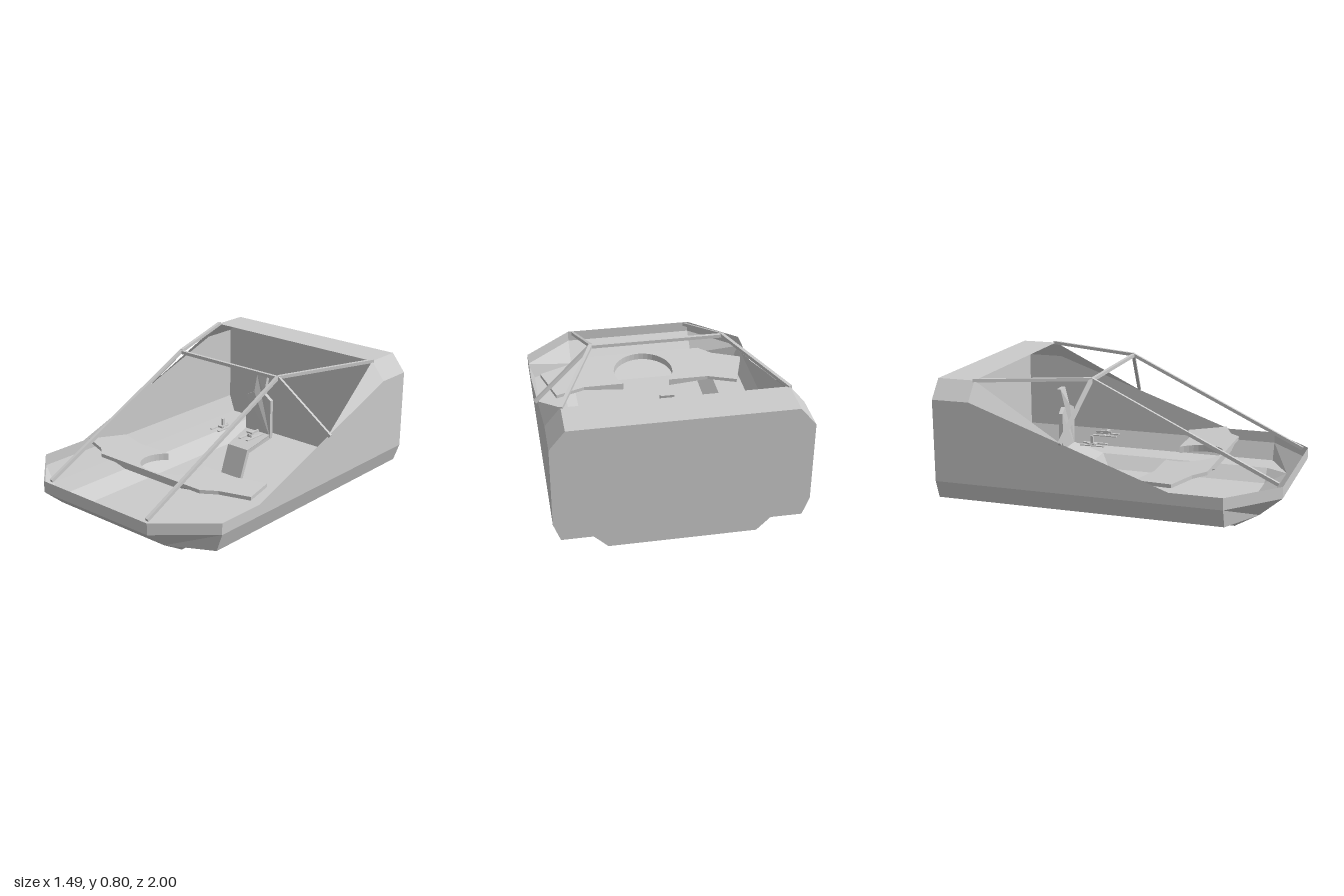
import * as THREE from 'three';

const grey = new THREE.MeshStandardMaterial({ color: 0xcccccc, flatShading: true, side: THREE.DoubleSide });
const V = (p) => new THREE.Vector3(...p);
const mirror = (p) => [-p[0], p[1], p[2]];

function add(parent, name, geometry) {
  const mesh = new THREE.Mesh(geometry, grey);
  mesh.name = name;
  parent.add(mesh);
  return mesh;
}

// Fan-filled panels, each turned to face away from the hull's middle
function panels(polys) {
  const pos = [];
  const middle = new THREE.Vector3(0, 0.35, -0.1);
  for (const poly of polys) {
    const [a, b, c] = poly.map(V);
    const n = b.clone().sub(a).cross(c.clone().sub(a));
    const pts = n.dot(a.clone().sub(middle)) < 0 ? [poly[0], ...poly.slice(1).reverse()] : poly;
    for (let i = 1; i < pts.length - 1; i++) pos.push(...pts[0], ...pts[i], ...pts[i + 1]);
  }
  const g = new THREE.BufferGeometry();
  g.setAttribute('position', new THREE.Float32BufferAttribute(pos, 3));
  g.computeVertexNormals();
  return g;
}

// Square bar between two points
function bar(parent, name, from, to, size = 0.02) {
  const a = V(from), b = V(to);
  const mesh = add(parent, name, new THREE.BoxGeometry(size, size, a.distanceTo(b)));
  mesh.position.copy(a).lerp(b, 0.5);
  mesh.lookAt(b);
}

function block(parent, name, size, at) {
  add(parent, name, new THREE.BoxGeometry(...size)).position.set(...at);
}

function extrude(points, depth) {
  const shape = new THREE.Shape(points.map((p) => new THREE.Vector2(...p)));
  return new THREE.ExtrudeGeometry(shape, { depth, bevelEnabled: false });
}

// Outline from one side's points plus their mirror images
const symmetric = (side) => [...side, ...side.map(([x, y]) => [-x, y]).reverse()];

// Move every vertex by a rule
function warp(g, rule) {
  const p = g.attributes.position;
  for (let i = 0; i < p.count; i++) p.setXYZ(i, ...rule(p.getX(i), p.getY(i), p.getZ(i)));
  g.computeVertexNormals();
  return g;
}

function buildHull(root) {
  // lower cross-section from keel to belt, at the stern and where the nose begins
  const section = [[0.42, 0], [0.5, 0.08], [0.68, 0.08], [0.72, 0.19]];
  const stern = section.map((p) => [...p, -1]);
  const fore = section.map((p) => [...p, 0.73]);
  const [noseLow, noseMid, noseTop] = [[0.08, 0.87], [0.19, 1], [0.26, 1]].map((p) => [0.42, ...p]);
  const foreRim = [0.72, 0.26, 0.73];
  const [rimMid, rimBack, sternRim] = [[0.48, -0.2], [0.68, -0.77], [0.68, -1]].map((p) => [0.72, ...p]);
  const [roofFront, roofBack] = [-0.77, -1].map((z) => [0.63, 0.79, z]);

  const half = [];
  for (let i = 0; i < 3; i++) {
    half.push([stern[i], fore[i], fore[i + 1], stern[i + 1]]);
    half.push([fore[i], noseLow, fore[i + 1]]);
  }
  // nose corner
  half.push([noseMid, noseLow, fore[3]], [noseMid, fore[3], foreRim, noseTop]);
  // side wall with sloping rim
  half.push([stern[3], fore[3], foreRim, [0.72, 0.26, 0.42], rimMid, rimBack, sternRim]);
  // shoulder gusset and roof chamfer
  half.push([rimMid, rimBack, roofFront], [rimBack, sternRim, roofBack, roofFront]);
  // back wall
  half.push([[0, 0.3, -1], [0, 0, -1], ...stern, sternRim, roofBack, [0, 0.79, -1]]);

  // full-width floor, nose and roof
  const spans = [[stern[0], fore[0]], [fore[0], noseLow], [noseLow, noseMid], [noseMid, noseTop], [roofFront, roofBack]];
  const middle = spans.map(([p, q]) => [p, q, mirror(q), mirror(p)]);
  add(root, 'hull', panels([...half, ...half.map((p) => p.map(mirror)), ...middle]));
}

function buildCanopyFrame(root) {
  const frame = new THREE.Group();
  frame.name = 'canopyFrame';
  for (const s of [1, -1]) {
    const top = [0.39 * s, 0.79, -0.14];
    bar(frame, 'frontRail', [0.39 * s, 0.26, 0.97], top);
    bar(frame, 'roofRail', top, [0.63 * s, 0.79, -0.78]);
    bar(frame, 'sideStrut', top, [0.735 * s, 0.485, -0.21]);
  }
  bar(frame, 'crossBar', [-0.39, 0.785, -0.14], [0.39, 0.785, -0.14]);
  root.add(frame);
}

// Thin winged console with a round bay open towards the seat
function buildConsole(root) {
  const outline = symmetric([[0.4, -0.24], [0.58, -0.18], [0.66, -0.42], [0.48, -0.49], [0.4, -0.56], [0.28, -0.56], [0.2, -0.56]]);
  const start = Math.asin(0.12 / 0.19), sweep = Math.PI + 2 * start;
  for (let i = 0; i <= 28; i++) {
    const a = Math.PI - start + (sweep * i) / 28;
    outline.push([0.19 * Math.cos(a), -0.36 + 0.19 * Math.sin(a)]);
  }
  const g = extrude(outline, 1);
  g.rotateX(-Math.PI / 2);
  // tilt towards the seat, thicker in the middle
  warp(g, (x, y, z) => {
    const thick = Math.abs(x) < 0.22 ? 0.042 : 0.022;
    return [x, 0.302 + (z - 0.56) * 0.09 - (y < 0.5 ? thick : 0), z];
  });
  add(root, 'console', g);
}

function buildSeat(root) {
  const seat = new THREE.Group();
  seat.name = 'seat';
  // backrest with narrow headrest leaning back
  const back = extrude(symmetric([[0.1, 0.24], [0.1, 0.49], [0.04, 0.52], [0.04, 0.63]]), 0.025);
  add(seat, 'backrest', warp(back, (x, y, z) => [x, y, z - 0.465 - Math.max(0, y - 0.49) * 0.25]));
  // pan and front support
  const pan = extrude([[-0.465, 0.26], [-0.465, 0.235], [-0.26, 0.185], [-0.185, 0], [-0.16, 0], [-0.24, 0.21], [-0.44, 0.26]], 0.2);
  pan.rotateY(-Math.PI / 2);
  pan.translate(0.1, 0, 0);
  add(seat, 'pan', warp(pan, (x, y, z) => [z > -0.3 ? x * 0.8 : x, y, z]));
  // foot plate
  const foot = extrude(symmetric([[0.1, 0.13], [0.1, 0.01], [0.05, -0.035]]), 0.012);
  foot.rotateX(-Math.PI / 2);
  add(seat, 'footPlate', warp(foot, (x, y, z) => [x, y + 0.01 + (z + 0.13) * 0.25, z]));
  root.add(seat);
}

function buildControls(root) {
  for (const s of [1, -1]) {
    const control = new THREE.Group();
    control.name = s > 0 ? 'leftControl' : 'rightControl';
    control.position.set(s * 0.118, 0.32, -0.23);
    for (const e of [1, -1]) block(control, 'armRail', [0.018, 0.006, 0.155], [e * 0.03, 0, 0]);
    block(control, 'bridge', [0.05, 0.008, 0.03], [0, 0, 0]);
    if (s > 0) {
      block(control, 'post', [0.012, 0.025, 0.03], [0, 0.01, 0]);
      block(control, 'grip', [0.045, 0.01, 0.018], [0, 0.027, 0.01]);
      block(control, 'lever', [0.012, 0.012, 0.1], [0, 0.018, -0.02]);
    } else {
      block(control, 'base', [0.035, 0.01, 0.06], [-0.005, 0.005, -0.01]);
      block(control, 'stick', [0.013, 0.05, 0.018], [-0.005, 0.028, -0.01]);
    }
    root.add(control);
  }
}

export function createModel() {
  const root = new THREE.Group();
  root.name = 'cockpit';
  buildHull(root);
  buildCanopyFrame(root);
  buildConsole(root);
  buildSeat(root);
  buildControls(root);
  return root;
}
